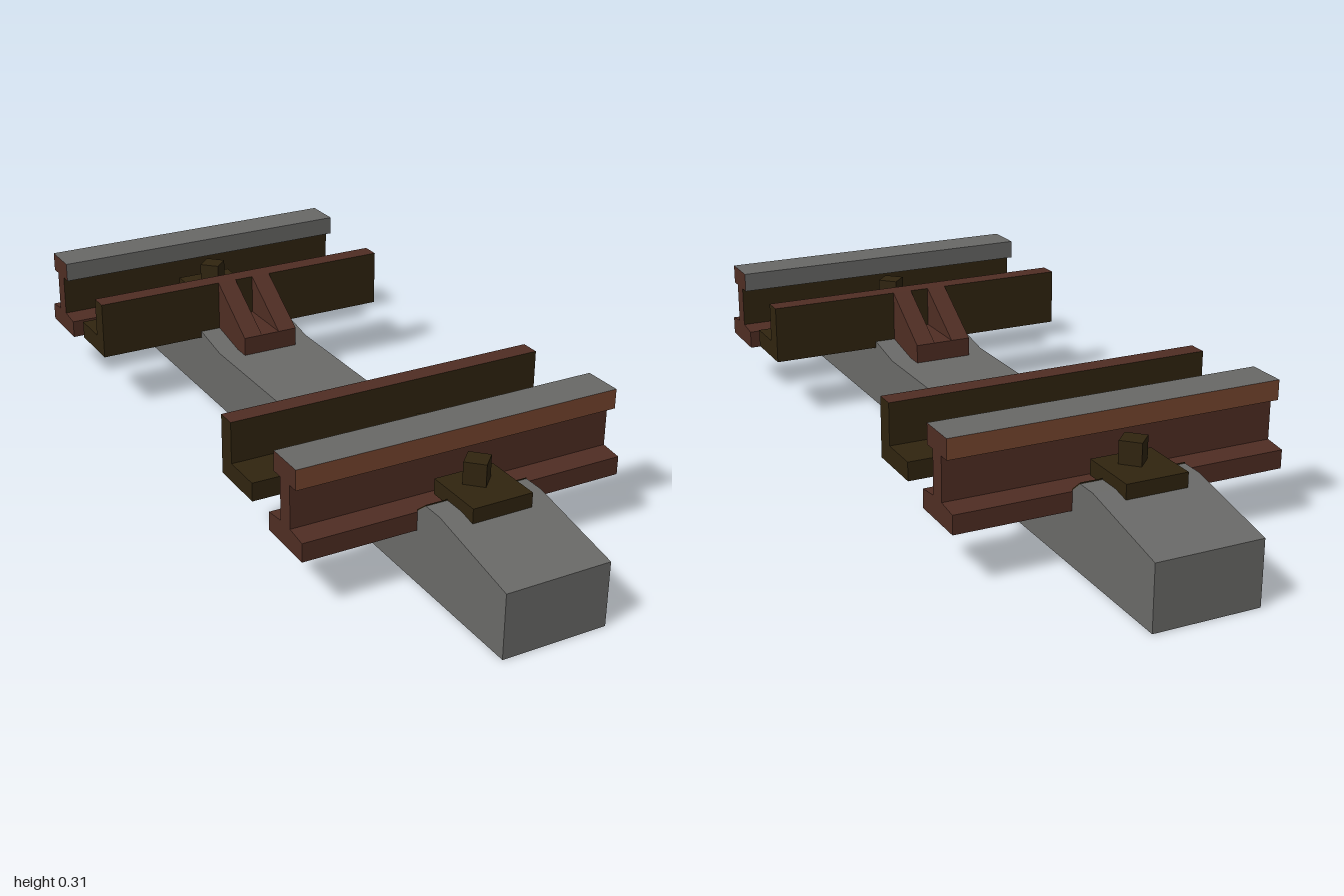
import * as THREE from 'three';

const mat = (name, color) => {
  const m = new THREE.MeshStandardMaterial({ color });
  m.name = name;
  return m;
};

export function createModel() {
  const concrete = mat('concrete', 0x6a6a68);
  const steel = mat('worn steel', 0x686866);
  const rust = mat('light rust', 0x78462f);
  const darkRust = mat('dark rust', 0x4f2d23);
  const oiled = mat('oiled iron', 0x30240f);

  const add = (parent, name, geometry, material) => {
    const mesh = new THREE.Mesh(geometry, material);
    mesh.name = name;
    parent.add(mesh);
    return mesh;
  };
  // Box given by its lower and upper limits
  const block = (x0, x1, y0, y1, z0, z1) =>
    new THREE.BoxGeometry(x1 - x0, y1 - y0, z1 - z0)
      .translate((x0 + x1) / 2, (y0 + y1) / 2, (z0 + z1) / 2);
  // Profile of [z, y] points swept along x
  const sweep = (points, x0, x1) => {
    const shape = new THREE.Shape(points.map(([z, y]) => new THREE.Vector2(z, y)));
    return new THREE.ExtrudeGeometry(shape, { depth: x1 - x0, bevelEnabled: false })
      .rotateY(-Math.PI / 2).translate(x1, 0, 0);
  };

  const model = new THREE.Group();
  model.name = 'trackSection';

  // Sleeper with a recessed seat under each rail
  const half = [[0.23, 0.145], [0.34, 0.165], [0.46, 0.186], [0.52, 0.19], [0.55, 0.165], [0.55, 0.12],
    [0.69, 0.12], [0.69, 0.165], [0.72, 0.19], [0.77, 0.19], [1, 0.145], [1, 0]];
  const mirrored = half.map(([z, y]) => [-z, y]).reverse();
  add(model, 'sleeper', sweep([...mirrored, ...half], -0.12, 0.12), concrete);

  const L = 0.38;
  for (const turn of [0, Math.PI]) {
    const side = new THREE.Group();
    side.name = turn ? 'backRailAssembly' : 'frontRailAssembly';
    side.rotation.y = turn;
    model.add(side);

    // Running rail: foot, web and head, worn bright on top and on the inner edge
    add(side, 'railFoot', sweep([[0.55, 0.12], [0.69, 0.12], [0.69, 0.162], [0.64, 0.168],
      [0.60, 0.168], [0.55, 0.162]], -L, L), darkRust);
    add(side, 'railWeb', block(-L, L, 0.165, 0.268, 0.60, 0.64),
      [darkRust, darkRust, darkRust, darkRust, darkRust, oiled]);
    add(side, 'railHead', block(-L, L, 0.265, 0.31, 0.573, 0.665),
      [darkRust, darkRust, steel, darkRust, rust, steel]);

    // Dark lining on the sloped shoulders of the seat
    for (const [a, b] of [[0.52, 0.55], [0.72, 0.69]]) {
      add(side, 'seatShoulder', sweep([[a, 0.19], [b, 0.165], [b, 0.168], [a, 0.193]], -0.12, 0.12), oiled);
    }

    // Clips with square bolts set cornerwise
    for (const [z0, z1, zBolt] of [[0.43, 0.58, 0.522], [0.67, 0.81, 0.716]]) {
      add(side, 'clip', block(-0.07, 0.07, 0.18, 0.215, z0, z1), oiled);
      const bolt = new THREE.CylinderGeometry(0.034, 0.034, 0.055, 4).toNonIndexed();
      bolt.computeVertexNormals();
      add(side, 'bolt', bolt, oiled).position.set(0, 0.2375, zBolt);
    }

    // Angle guard rail with a rusty upper edge
    add(side, 'guardFlange', block(-L, L, 0.148, 0.19, 0.38, 0.475), oiled);
    add(side, 'guardUpright', block(-L, L, 0.148, 0.285, 0.335, 0.38),
      [oiled, oiled, darkRust, oiled, oiled, oiled]);

    // Bracket bracing the guard rail
    add(side, 'bracketBase', block(-0.07, 0.07, 0.145, 0.19, 0.19, 0.335), darkRust);
    for (const x of [-0.07, 0.023]) {
      add(side, 'bracketRib', sweep([[0.19, 0.19], [0.335, 0.19], [0.335, 0.285]], x, x + 0.047), darkRust);
    }
  }
  return model;
}
